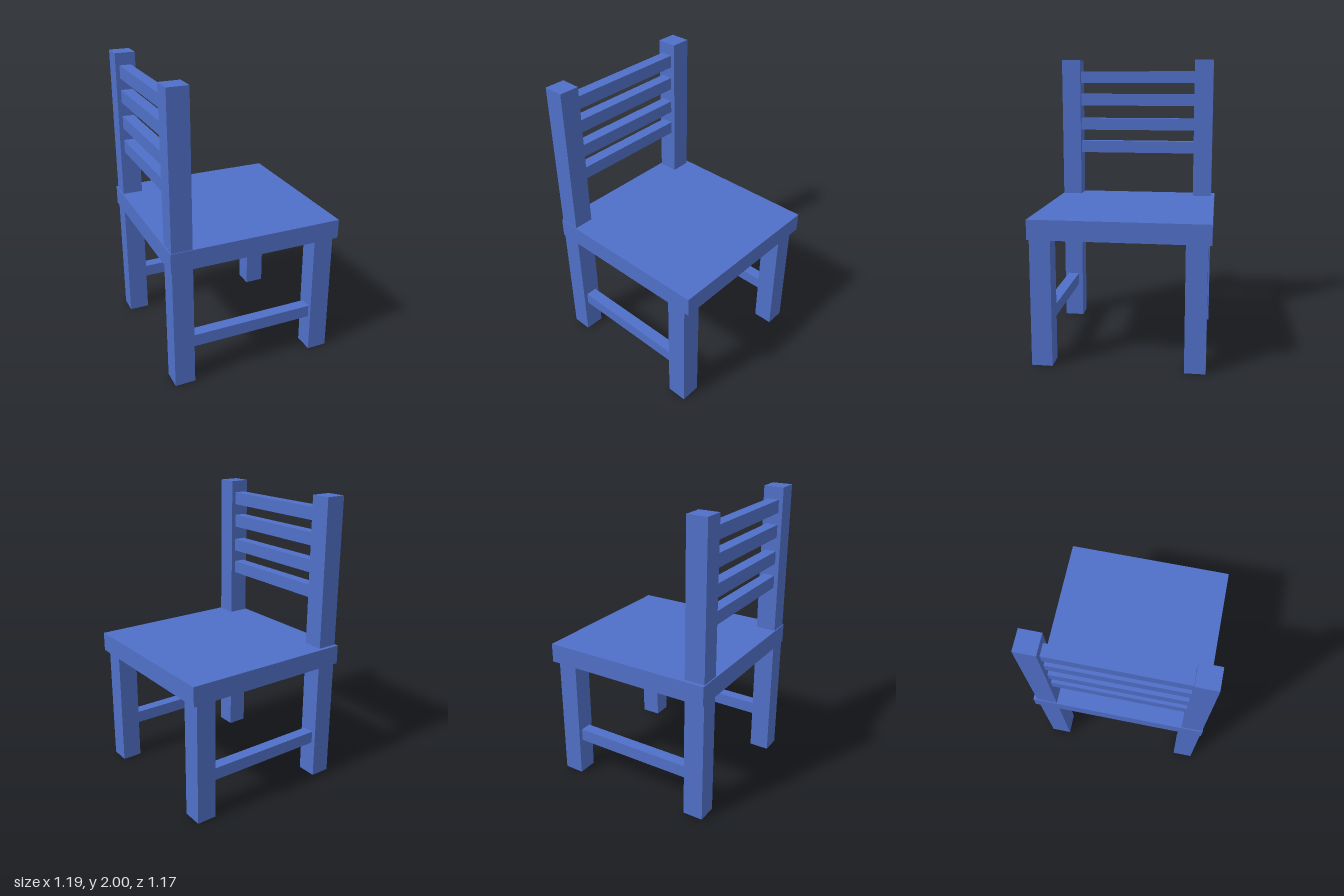
import * as THREE from 'three';

export function createModel() {
  const chair = new THREE.Group();
  chair.name = 'chair';
  const paint = new THREE.MeshStandardMaterial({ color: 0x5070c8, flatShading: true });

  // Adds a box given its [min, max] extent on each axis
  function addBox(name, [x0, x1], [y0, y1], [z0, z1]) {
    const mesh = new THREE.Mesh(new THREE.BoxGeometry(x1 - x0, y1 - y0, z1 - z0), paint);
    mesh.position.set((x0 + x1) / 2, (y0 + y1) / 2, (z0 + z1) / 2);
    mesh.name = name;
    chair.add(mesh);
  }

  addBox('seat', [-0.595, 0.595], [0.853, 0.985], [-0.585, 0.583]);

  // Each side: tall back post, short front leg and the low stretcher between them
  for (const [side, z] of [['left', 0.44], ['right', -0.56]]) {
    const depth = [z, z + 0.138];
    addBox(`${side}BackPost`, [-0.588, -0.449], [0, 2], depth);
    addBox(`${side}FrontLeg`, [0.419, 0.557], [0, 0.86], depth);
    addBox(`${side}Stretcher`, [-0.46, 0.43], [0.254, 0.34], [z + 0.03, z + 0.11]);
  }

  // Backrest slats spanning the two posts
  [1.348, 1.705, 1.521, 1.873].sort().forEach((y, i) => {
    addBox(`backSlat${i + 1}`, [-0.56, -0.48], [y - 0.044, y + 0.044], [-0.43, 0.45]);
  });

  return chair;
}
